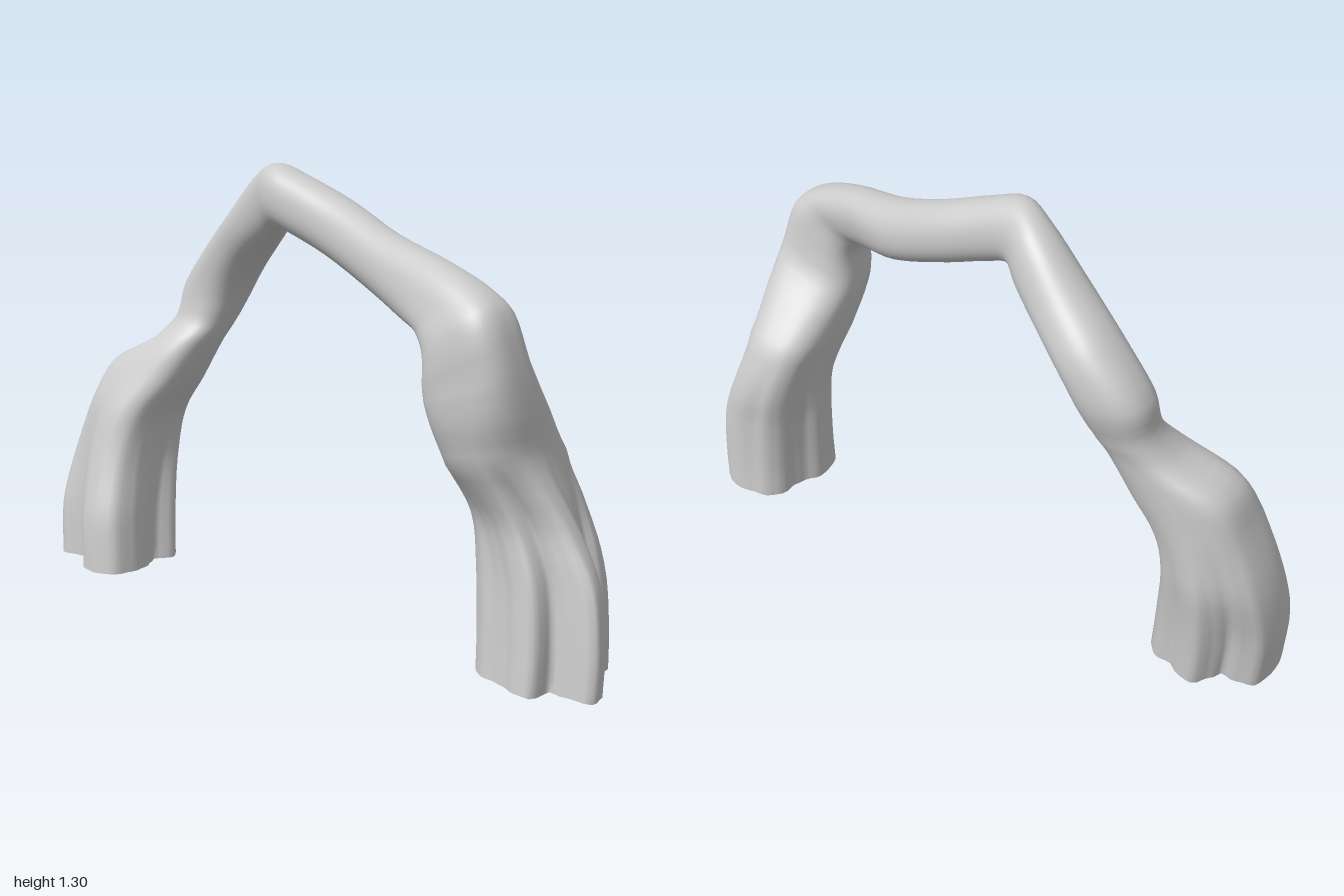
import * as THREE from 'three';

// Lobed root outlines: radius every 15 degrees, from the outer side towards the front
const rightRoot = [.95, .97, 1, .68, .52, .52, .8, 1.03, 1.22, 1.3, 1.17, 1.02,
  .85, .76, 1.05, 1.05, .9, .96, .98, .75, .62, .8, .97, .95];
const leftRoot = [.6, 1, 1.15, .85, .66, 1, .95, .87, .88, 1, 1.05, 1.02,
  1, .87, .88, 1.05, 1.08, 1, 1, .97, .92, .75, .5, .52];

// Sections along the arch: outer x, y, inner x, y, centre z, half depth, lobe strength, squareness
const rightLeg = [
  [-.995, .03, -.63, .03, .02, .18, 1, .5],
  [-1, .2, -.645, .2, .005, .182, .85, .5],
  [-.97, .37, -.66, .38, -.03, .17, .5, .6],
  [-.9, .55, -.64, .5, -.05, .15, .2, .8],
  [-.845, .67, -.57, .61, -.08, .125, .1, .8],
  [-.71, .745, -.5, .74, -.115, .1, 0, .5],
  [-.65, .82, -.47, .8, -.15, .085, 0, .4],
  [-.63, .92, -.43, .88, -.172, .092, 0, .4],
  [-.52, 1.05, -.37, .96, -.163, .095, 0, .3],
];
const span = [
  [-.4, 1.15, -.28, 1.03, -.125, .09, 0, .2],
  [-.25, 1.27, -.2, 1.08, -.08, .08, 0, .2],
  [-.16, 1.295, -.15, 1.11, -.04, .075, 0, .2],
  [-.05, 1.26, -.08, 1.09, -.03, .075, 0, .2],
  [.1, 1.2, .05, 1.04, -.02, .08, 0, .2],
  [.3, 1.12, .27, .95, .04, .085, 0, .2],
  [.53, 1.06, .42, .9, .12, .08, 0, .3],
];
const leftLeg = [
  [.68, 1, .49, .88, .158, .083, 0, .6],
  [.74, .95, .53, .83, .17, .097, 0, 1],
  [.78, .83, .53, .73, .16, .108, 0, 1],
  [.8, .7, .54, .65, .115, .148, 0, .8],
  [.81, .58, .56, .55, .055, .18, .05, .6],
  [.89, .42, .59, .42, .005, .168, .6, .4],
  [.97, .28, .61, .28, .01, .172, .95, 0],
  [.995, .12, .625, .12, .02, .18, 1, 0],
  [.995, 0, .63, .01, .025, .188, 1, 0],
];

const SIDES = 72, STEPS = 96;

function lobeRadius(table, j) {
  const s = j / SIDES * table.length, k = Math.floor(s);
  return THREE.MathUtils.lerp(table[k % table.length], table[(k + 1) % table.length],
    THREE.MathUtils.smoothstep(s - k, 0, 1));
}

// Skins the sections with a smooth open-ended tube
function loft(sections) {
  const curve = f => new THREE.CatmullRomCurve3(sections.map(f), false, 'centripetal');
  const last = sections.length - 1;
  const outer = curve(s => new THREE.Vector3(s[0], s[1], s[4]));
  const inner = curve(s => new THREE.Vector3(s[2], s[3], s[4]));
  const positions = [], index = [];
  for (let i = 0; i <= STEPS; i++) {
    const t = i / STEPS, k = Math.min(Math.floor(t * last), last - 1), f = t * last - k;
    const mix = c => THREE.MathUtils.lerp(sections[k][c], sections[k + 1][c], f);
    const o = outer.getPoint(t), n = inner.getPoint(t);
    const centre = o.clone().add(n).multiplyScalar(.5);
    const u = o.sub(n).multiplyScalar(.5);
    const depth = mix(5), lobes = mix(6), power = 2 + mix(7);
    const table = t < .5 ? rightRoot : leftRoot;
    for (let j = 0; j < SIDES; j++) {
      const a = j / SIDES * Math.PI * 2, c = Math.cos(a), s = Math.sin(a);
      const rounded = (Math.abs(c) ** power + Math.abs(s) ** power) ** (-1 / power);
      const r = THREE.MathUtils.lerp(rounded, lobeRadius(table, j), lobes);
      const p = centre.clone().addScaledVector(u, c * r);
      positions.push(p.x, p.y, p.z + s * r * depth);
      if (i < STEPS) {
        const p0 = i * SIDES + j, p1 = i * SIDES + (j + 1) % SIDES;
        index.push(p0, p1, p1 + SIDES, p0, p1 + SIDES, p0 + SIDES);
      }
    }
  }
  const geometry = new THREE.BufferGeometry();
  geometry.setAttribute('position', new THREE.Float32BufferAttribute(positions, 3));
  geometry.setIndex(index);
  geometry.computeVertexNormals();
  return geometry;
}

export function createModel() {
  const group = new THREE.Group();
  group.name = 'rootArch';
  const material = new THREE.MeshStandardMaterial({ color: 0xcccccc, side: THREE.DoubleSide });
  // One continuous root: right leg, crossing span, left leg
  const root = new THREE.Mesh(loft([...rightLeg, ...span, ...leftLeg]), material);
  root.name = 'archedRoot';
  group.add(root);
  return group;
}
